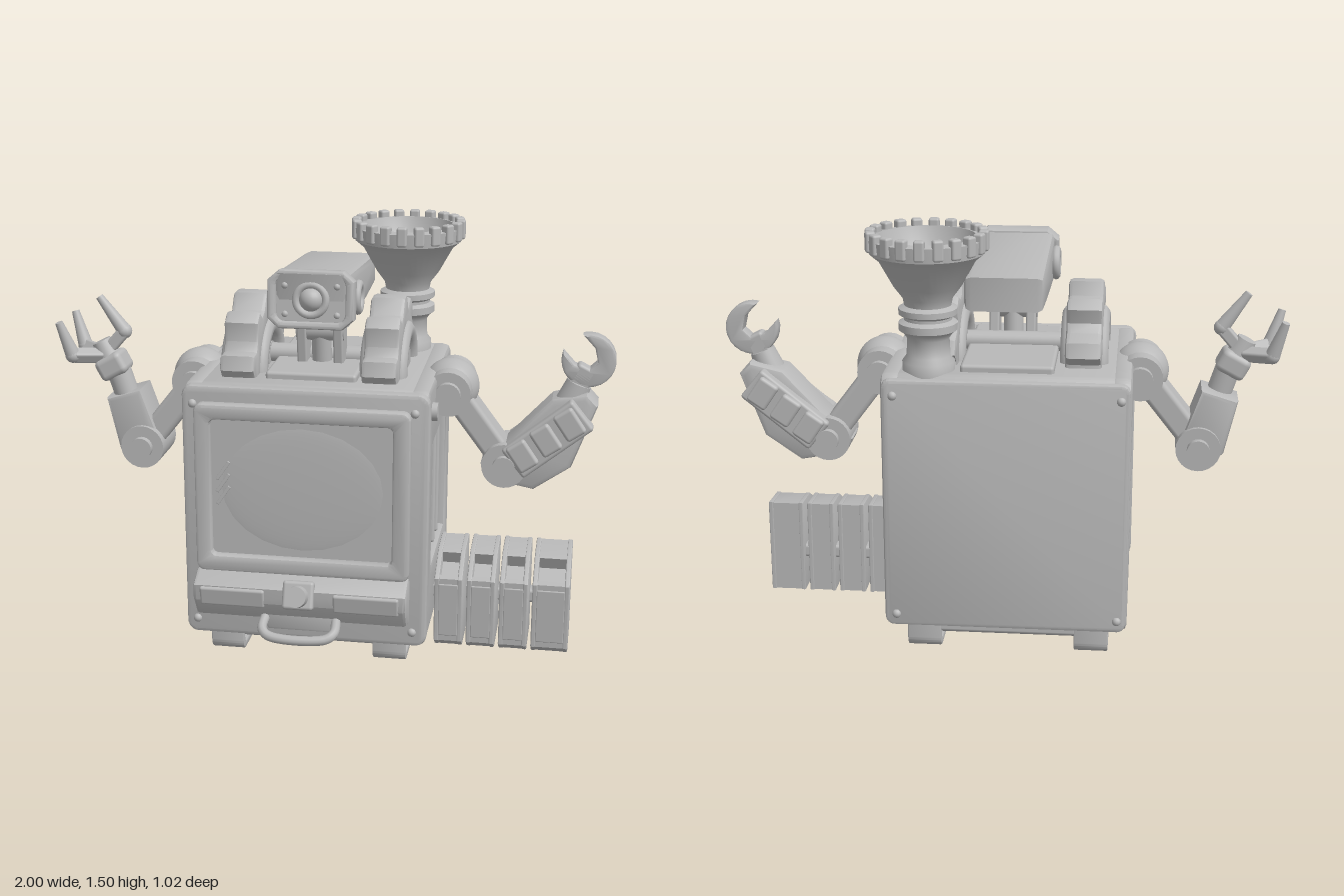
import * as THREE from 'three';
import { toCreasedNormals } from 'three/addons/utils/BufferGeometryUtils.js';
import { RoundedBoxGeometry } from 'three/addons/geometries/RoundedBoxGeometry.js';

const V = (x, y, z = 0) => new THREE.Vector3(x, y, z);

export function createModel() {
  const model = new THREE.Group();
  const grey = new THREE.MeshStandardMaterial({ color: 0xb8b8b8 });
  grey.name = 'plain grey';

  // Helpers
  const add = (name, geo, x = 0, y = 0, z = 0, rx = 0, ry = 0, rz = 0) => {
    const m = new THREE.Mesh(geo, grey);
    m.name = name;
    m.position.set(x, y, z);
    m.rotation.set(rx, ry, rz);
    model.add(m);
    return m;
  };
  const box = (w, h, d, r = 0.012) => new RoundedBoxGeometry(w, h, d, 2, r);
  const cyl = (r1, r2, h, n = 24) => new THREE.CylinderGeometry(r1, r2, h, n);
  const poly = pts => new THREE.Shape(pts.map(p => new THREE.Vector2(...p)));
  const rounded = (x0, y0, x1, y1, r) => {
    const s = new THREE.Shape(), h = Math.PI / 2;
    s.absarc(x1 - r, y0 + r, r, -h, 0);
    s.absarc(x1 - r, y1 - r, r, 0, h);
    s.absarc(x0 + r, y1 - r, r, h, 2 * h);
    s.absarc(x0 + r, y0 + r, r, 2 * h, 3 * h);
    return s;
  };
  // Centred slab: outline in x,y and thickness in z
  const slab = (shape, depth, bevel = 0.01) => {
    const g = new THREE.ExtrudeGeometry(shape, {
      depth: depth - 2 * bevel, bevelEnabled: bevel > 0, bevelSize: bevel,
      bevelThickness: bevel, bevelOffset: -bevel, bevelSegments: 2, curveSegments: 10,
    });
    return toCreasedNormals(g.translate(0, 0, bevel - depth / 2), 0.6);
  };
  // Same slab with its outline in z,y and thickness along x
  const side = (shape, depth, bevel) => slab(shape, depth, bevel).rotateY(-Math.PI / 2);
  const between = (name, geo, a, b) => {
    const m = add(name, geo, ...a.clone().add(b).multiplyScalar(0.5).toArray());
    m.quaternion.setFromUnitVectors(V(0, 1, 0), b.clone().sub(a).normalize());
    return m;
  };
  const limb = (name, a, b, w, d) => between(name, box(w, a.distanceTo(b), d, Math.min(w, d) * 0.2), a, b);
  const rod = (name, a, b, r1, r2 = r1) => between(name, cyl(r2, r1, a.distanceTo(b)), a, b);

  // Cabinet with a recessed vent on each side
  const CX = -0.04, outline = () => rounded(-0.4, 0.1, 0.34, 1.02, 0.05);
  add('cabinetCore', side(outline(), 0.74, 0.01), CX);
  for (const s of [-1, 1]) {
    const wall = outline();
    wall.holes.push(new THREE.Path([[-0.28, 0.33], [0.18, 0.33], [0.18, 0.79], [-0.28, 0.79]].map(p => new THREE.Vector2(...p))));
    add('sideWall', side(wall, 0.07, 0.018), CX + s * 0.39);
    for (let i = 0; i < 4; i++)
      add('ventSlat', box(0.025, 0.45, 0.112), CX + s * 0.39, 0.56, 0.122 - i * 0.115, 0, s * 0.18, 0);
    add('sideBolt', cyl(0.032, 0.032, 0.03), CX + s * 0.43, 0.93, 0.23, 0, 0, Math.PI / 2);
  }
  add('frontFlange', slab(rounded(-0.47, 0.1, 0.39, 1.02, 0.04), 0.05, 0.015), 0, 0, 0.33);
  add('backPanel', slab(rounded(-0.46, 0.11, 0.38, 1.01, 0.03), 0.04, 0.012), 0, 0, -0.395);
  for (const x of [-0.43, 0.34]) for (const y of [0.155, 0.955]) for (const z of [0.352, -0.413])
    add('rivet', new THREE.SphereGeometry(0.016, 12, 8), x, y, z);

  // Screen and its bezel
  const bezel = rounded(-0.42, 0.355, 0.33, 0.965, 0.03);
  bezel.holes.push(rounded(-0.365, 0.415, 0.27, 0.91, 0.02));
  add('screenBezel', slab(bezel, 0.05, 0.012), 0, 0, 0.37);
  const glass = new THREE.SphereGeometry(1, 24, 16, 0, Math.PI * 2, 0, Math.PI / 2).rotateX(Math.PI / 2);
  add('screen', box(0.66, 0.52, 0.02), -0.047, 0.662, 0.352);
  add('screenBulge', glass, -0.047, 0.662, 0.358).scale.set(0.3, 0.235, 0.012);
  for (let i = 0; i < 3; i++) add('screenGlint', box(0.012, 0.08, 0.006, 0.002), -0.325, 0.72 - i * 0.045, 0.363, 0, 0, -0.6);

  // Drawer, knob and pull handle
  const drawer = poly([[0.34, 0.36], [0.39, 0.36], [0.455, 0.325], [0.455, 0.27], [0.41, 0.2], [0.34, 0.18]]);
  add('drawer', side(drawer, 0.75, 0.012), -0.045);
  for (const s of [-1, 1]) add('drawerPad', box(0.23, 0.07, 0.02, 0.009), -0.045 + s * 0.235, 0.287, 0.45, 0.18);
  add('handlePlate', slab(poly([[-0.2, 0.24], [-0.16, 0.16], [0.07, 0.16], [0.11, 0.24]]), 0.08), 0, 0, 0.38);
  add('knobBase', box(0.11, 0.1, 0.06), -0.045, 0.305, 0.44, -0.35);
  add('knob', cyl(0.036, 0.04, 0.06), -0.045, 0.315, 0.478, Math.PI / 2 - 0.35);
  const pull = new THREE.CatmullRomCurve3([V(-0.17, 0.21, 0.4), V(-0.17, 0.18, 0.47), V(-0.14, 0.165, 0.49),
    V(0.05, 0.165, 0.49), V(0.08, 0.18, 0.47), V(0.08, 0.21, 0.4)]);
  add('pullHandle', new THREE.TubeGeometry(pull, 40, 0.017, 10));

  // Base and skids
  add('basePlate', box(0.62, 0.08, 0.54), CX, 0.08, -0.04);
  const skid = rounded(-0.36, 0, 0.28, 0.16, 0.04);
  skid.holes.push(rounded(-0.335, 0.025, 0.255, 0.15, 0.025));
  for (const x of [-0.34, 0.25]) add('skid', side(skid, 0.12, 0.005), x);
  for (const z of [-0.345, 0.265]) add('skidCrossbar', box(0.5, 0.04, 0.025), CX, 0.085, z);

  // Row of open-topped canisters
  const shell = [[-0.01, 0.05], [0.2, 0.05], [0.24, 0.08], [0.25, 0.32], [0.13, 0.39], [-0.01, 0.4]];
  const core = [[-0.008, 0.052], [0.2, 0.052], [0.237, 0.08], [0.246, 0.32], [0.228, 0.328], [0.205, 0.29],
    [0.12, 0.335], [0.14, 0.38], [0.128, 0.387], [-0.008, 0.397]];
  for (const [x0, x1] of [[0.405, 0.505], [0.52, 0.62], [0.635, 0.735], [0.75, 0.88]]) {
    add('canister', side(poly(core), x1 - x0 - 0.02, 0), (x0 + x1) / 2);
    for (const x of [x0 + 0.009, x1 - 0.009]) add('canisterWall', side(poly(shell), 0.018, 0.005), x);
    add('canisterPanel', box(x1 - x0 - 0.03, 0.2, 0.01, 0.004), (x0 + x1) / 2, 0.2, 0.24, 0.04);
  }
  add('canisterBracket', box(0.4, 0.05, 0.06), 0.56, 0.2, 0.04);

  // Cog wheels half sunk in the top
  const cog = new THREE.Shape(), N = 10;
  for (let i = 0; i < N; i++) {
    [[0, 0.235], [0.3, 0.28], [0.6, 0.28], [0.75, 0.235]].forEach(([f, r], k) => {
      const a = (i + f) / N * Math.PI * 2;
      cog[i + k ? 'lineTo' : 'moveTo'](r * Math.cos(a), r * Math.sin(a));
    });
  }
  const ring = r => new THREE.Path().absarc(0, 0, r, 0, Math.PI * 2);
  cog.holes.push(ring(0.12));
  for (const x of [-0.295, 0.2]) {
    add('cogWheel', side(cog, 0.125, 0.015), x, 0.995, -0.02);
    for (const s of [-1, 1]) add('cogRim', new THREE.TorusGeometry(0.155, 0.035, 10, 36), x + s * 0.05, 0.995, -0.02, 0, Math.PI / 2);
    add('cogHub', cyl(0.06, 0.06, 0.14), x, 1.03, -0.02, 0, 0, Math.PI / 2);
  }
  add('axle', cyl(0.035, 0.035, 0.5), -0.045, 1.05, -0.02, 0, 0, Math.PI / 2);
  add('topDeck', box(0.32, 0.04, 0.56), -0.04, 1.025, -0.05);

  // Neck
  const NX = -0.033;
  for (const s of [-1, 1]) limb('neckRail', V(NX + s * 0.065, 1.0, 0.02), V(NX + s * 0.065, 1.25, 0.06), 0.035, 0.1);
  rod('neckPiston', V(NX, 1.0, 0.03), V(NX, 1.25, 0.06), 0.035);
  add('neckPin', cyl(0.04, 0.04, 0.17), NX, 1.16, 0.05, 0, 0, Math.PI / 2);

  // Camera head
  add('headHousing', side(poly([[0.26, 1.4], [0.24, 1.21], [-0.12, 1.225], [-0.36, 1.24], [-0.36, 1.355]]), 0.27, 0.025), NX);
  const face = poly([[-0.11, -0.1], [0.11, -0.1], [0.15, -0.065], [0.15, 0.065], [0.11, 0.1], [-0.11, 0.1], [-0.15, 0.065], [-0.15, -0.065]]);
  face.holes.push(rounded(-0.12, -0.075, 0.12, 0.075, 0.03));
  add('faceFrame', slab(face, 0.07, 0.012), NX, 1.308, 0.235, -0.12);
  add('facePlate', box(0.26, 0.17, 0.03), NX, 1.308, 0.235, -0.12);
  add('lensRing', new THREE.TorusGeometry(0.052, 0.013, 10, 28), NX, 1.31, 0.256, -0.12);
  add('lens', new THREE.SphereGeometry(0.042, 20, 14), NX, 1.31, 0.245);
  for (const sx of [-1, 1]) for (const sy of [-1, 1])
    add('faceScrew', new THREE.SphereGeometry(0.013, 10, 8), NX + sx * 0.09, 1.308 + sy * 0.05, 0.25);
  for (const s of [-1, 1]) {
    add('earRing', new THREE.TorusGeometry(0.045, 0.016, 10, 28), NX + s * 0.145, 1.3, 0.14, 0, Math.PI / 2);
    add('earDisc', cyl(0.045, 0.045, 0.03), NX + s * 0.13, 1.3, 0.14, 0, 0, Math.PI / 2);
  }

  // Funnel with a toothed rim
  const FX = 0.23, FZ = -0.293;
  const profile = [[0.09, 1.0], [0.09, 1.05], [0.075, 1.07], [0.072, 1.13], [0.085, 1.15], [0.1, 1.16], [0.1, 1.185], [0.082, 1.195],
    [0.082, 1.205], [0.1, 1.215], [0.1, 1.235], [0.08, 1.245], [0.085, 1.27], [0.115, 1.31], [0.165, 1.4], [0.195, 1.425], [0.2, 1.475],
    [0.165, 1.48], [0.145, 1.42], [0.085, 1.32], [0, 1.3]];
  add('funnel', toCreasedNormals(new THREE.LatheGeometry(profile.map(p => new THREE.Vector2(...p)), 40), 0.7), FX, 0, FZ);
  for (let i = 0; i < 20; i++) {
    const a = i / 20 * Math.PI * 2;
    add('funnelTooth', box(0.036, 0.07, 0.034, 0.008), FX + 0.191 * Math.sin(a), 1.467, FZ + 0.191 * Math.cos(a), 0, a, 0);
  }

  // Shoulders, upper arms and elbows
  const AZ = -0.022;
  for (const [s, sx, ex, ey] of [[-1, -0.49, -0.7, 0.69], [1, 0.425, 0.625, 0.69]]) {
    add('shoulderBall', new THREE.SphereGeometry(0.1, 28, 20), sx, 0.955, AZ);
    add('shoulderDrum', cyl(0.08, 0.08, 0.25), sx, 0.955, AZ, Math.PI / 2);
    add('shoulderCap', cyl(0.045, 0.045, 0.3), sx, 0.955, AZ, Math.PI / 2);
    limb('upperArm', V(sx + s * 0.02, 0.93, AZ), V(ex, ey, AZ), 0.095, 0.12);
    add('elbow', cyl(0.08, 0.08, 0.18), ex, ey, AZ, Math.PI / 2);
    add('elbowCap', cyl(0.04, 0.04, 0.23), ex, ey, AZ, Math.PI / 2);
  }

  // Right forearm with a three-fingered claw
  add('rightForearm', slab(poly([[-0.79, 0.67], [-0.74, 0.625], [-0.65, 0.63], [-0.63, 0.69], [-0.705, 0.905], [-0.835, 0.865]]), 0.15, 0.015), 0, 0, AZ);
  rod('rightWrist', V(-0.765, 0.86, 0), V(-0.8, 0.97, 0), 0.045);
  limb('palm', V(-0.795, 0.945, 0), V(-0.835, 1.02, 0), 0.11, 0.11);
  rod('palmCore', V(-0.83, 1.01, 0), V(-0.86, 1.07, 0), 0.045, 0.035);
  const fingers = [
    [V(-0.84, 1.03), V(-0.77, 1.11), V(-0.86, 1.235)],
    ...[-1, 1].map(s => [V(-0.85, 1.02, s * 0.02), V(-0.945, 1.03, s * 0.075), V(-0.985, 1.155, s * 0.095)]),
  ];
  for (const [a, b, c] of fingers) {
    limb('fingerBase', a, b, 0.045, 0.045);
    add('knuckle', new THREE.SphereGeometry(0.028, 14, 10), ...b.toArray());
    rod('fingerTip', b, c, 0.027, 0.014);
  }

  // Left forearm with ribbed pads and a wrench
  add('leftForearm', slab(poly([[0.54, 0.685], [0.57, 0.63], [0.73, 0.6], [0.86, 0.69], [0.945, 0.92], [0.905, 0.963], [0.785, 0.935], [0.65, 0.79]]), 0.15, 0.02), 0, 0, AZ);
  for (const s of [-1, 1]) {
    add('forearmRail', box(0.31, 0.13, 0.06), 0.775, 0.8, AZ + s * 0.08, 0, 0, 0.68);
    for (let i = 0; i < 3; i++)
      add('forearmPad', box(0.078, 0.105, 0.06), 0.69 + i * 0.08, 0.74 + i * 0.062, AZ + s * 0.098, 0, 0, 0.6);
  }
  rod('leftWrist', V(0.84, 0.9, -0.01), V(0.875, 0.99, -0.01), 0.055, 0.045);
  limb('wrenchHandle', V(0.865, 0.97, -0.01), V(0.905, 1.05, -0.01), 0.075, 0.06);
  const jaw = new THREE.Shape();
  jaw.absarc(0, 0, 0.095, Math.PI * 0.66, Math.PI * 2.34);
  [[0.046, 0.02], [0.02, -0.025], [-0.02, -0.025], [-0.046, 0.02]].forEach(p => jaw.lineTo(...p));
  add('wrenchJaw', slab(jaw, 0.06, 0.008), 0.905, 1.075, -0.01, 0, 0, 0.75);

  return model;
}
